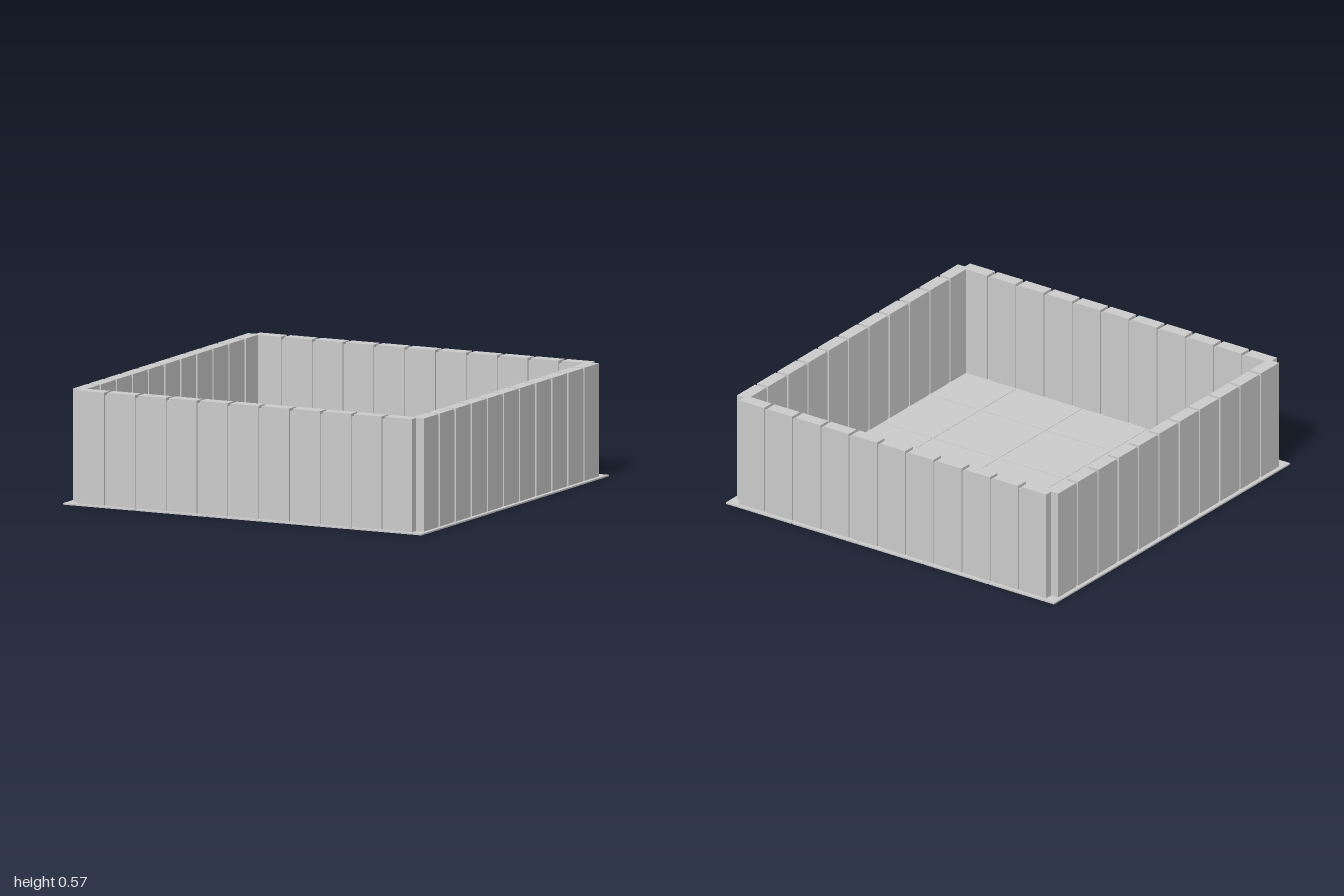
import * as THREE from 'three';

const material = new THREE.MeshStandardMaterial({ color: 0xcccccc, flatShading: true });

const FLOOR = 0.008, TOP = 0.575;        // floor thickness, wall top
const INNER = 0.912, OUTER = 0.978;      // wall faces
const NOTCH = 0.935;                     // step at each outer corner
const PITCH = 0.172, JOINT = 0.018;      // plank spacing, joint width
const TILE = 0.4, SEAM = 0.008;          // floor tile spacing, seam width

function box(parent, name, w, h, d, x, y, z) {
  const mesh = new THREE.Mesh(new THREE.BoxGeometry(w, h, d), material);
  mesh.name = name;
  mesh.position.set(x, y, z);
  parent.add(mesh);
}

// Square tiles with thin recessed strips between them
function createFloor() {
  const floor = new THREE.Group();
  floor.name = 'floor';
  for (let i = -2; i <= 2; i++) {
    for (let j = -2; j <= 2; j++) {
      // Outermost tiles reach the full edge of the floor
      const x0 = i === -2 ? -1 : i * TILE - TILE / 2 + SEAM / 2;
      const x1 = i === 2 ? 1 : i * TILE + TILE / 2 - SEAM / 2;
      const z0 = j === -2 ? -1 : j * TILE - TILE / 2 + SEAM / 2;
      const z1 = j === 2 ? 1 : j * TILE + TILE / 2 - SEAM / 2;
      box(floor, 'floorTile', x1 - x0, FLOOR, z1 - z0, (x0 + x1) / 2, FLOOR / 2, (z0 + z1) / 2);
    }
  }
  for (const s of [-0.6, -0.2, 0.2, 0.6]) {
    box(floor, 'floorSeam', SEAM, FLOOR / 2, 2, s, FLOOR / 2, 0);
    box(floor, 'floorSeam', 2, FLOOR / 2, SEAM, 0, FLOOR / 2, s);
  }
  return floor;
}

// Nine planks with recessed joints, plus the corner post at the +x end
function createWall() {
  const wall = new THREE.Group();
  wall.name = 'wall';
  const height = TOP - FLOOR, depth = OUTER - INNER, z = (OUTER + INNER) / 2;
  for (let i = -4; i <= 4; i++) {
    box(wall, 'wallPlank', PITCH - JOINT, height, depth, i * PITCH, FLOOR + height / 2, z);
  }
  const jointHeight = height - 0.015;
  for (let i = -4.5; i <= 4.5; i++) {
    box(wall, 'wallJoint', JOINT, jointHeight, depth - 0.014, i * PITCH, FLOOR + jointHeight / 2, z);
  }

  // Corner post: L-shaped plan with its outer corner cut away
  const end = 4.5 * PITCH + JOINT / 2;
  const plan = [
    [end, OUTER], [NOTCH, OUTER], [NOTCH, NOTCH], [OUTER, NOTCH],
    [OUTER, end], [INNER, end], [INNER, INNER], [end, INNER],
  ].map(([x, y]) => new THREE.Vector2(x, y));
  const geometry = new THREE.ExtrudeGeometry(new THREE.Shape(plan), { depth: height, bevelEnabled: false });
  geometry.rotateX(-Math.PI / 2);
  const corner = new THREE.Mesh(geometry, material);
  corner.name = 'cornerPost';
  corner.position.y = FLOOR;
  wall.add(corner);
  return wall;
}

export function createModel() {
  const model = new THREE.Group();
  model.name = 'walledEnclosure';
  model.add(createFloor());
  ['frontWall', 'leftWall', 'backWall', 'rightWall'].forEach((name, i) => {
    const wall = createWall();
    wall.name = name;
    wall.rotation.y = i * Math.PI / 2;
    model.add(wall);
  });
  return model;
}
